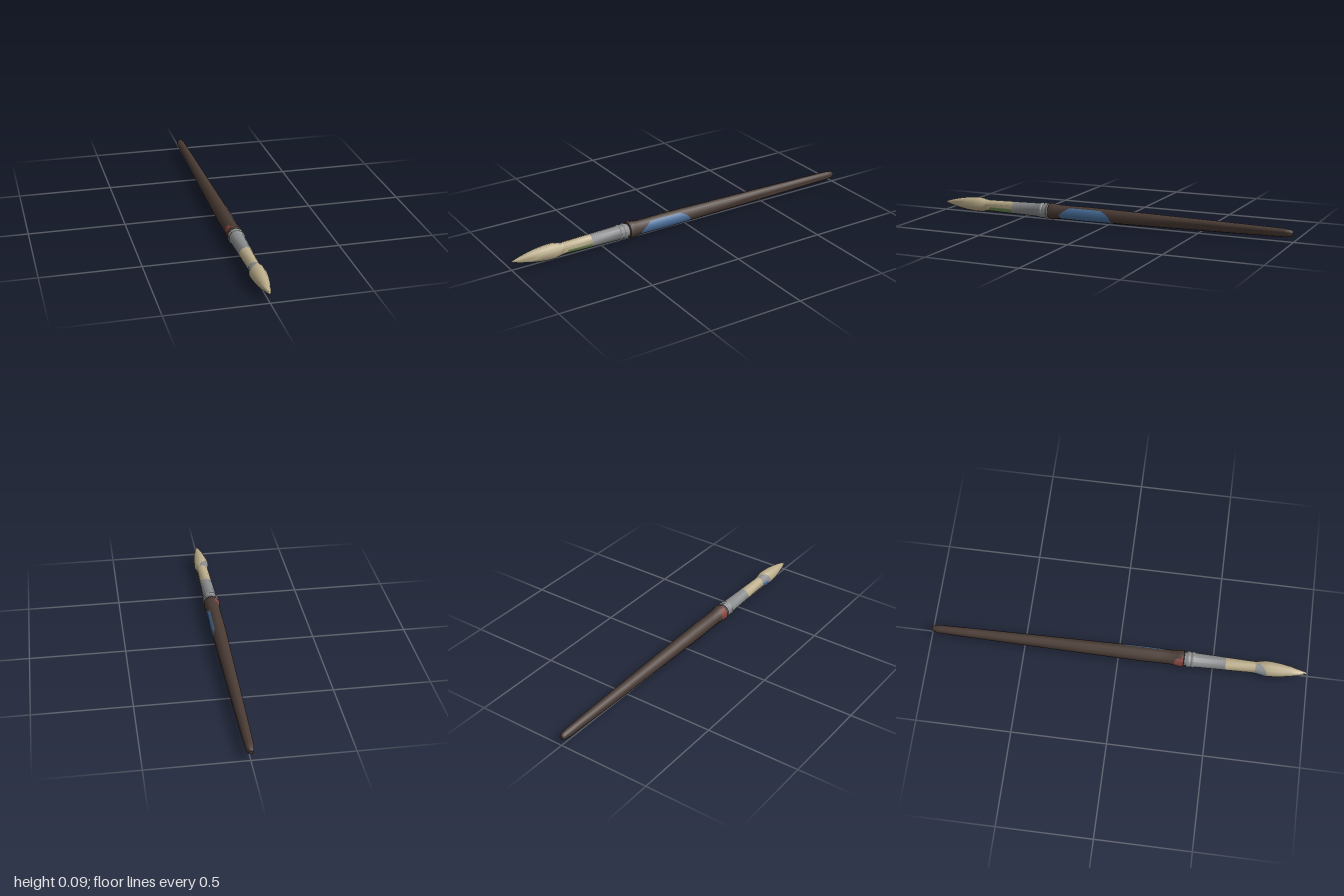
import * as THREE from 'three';
import { toCreasedNormals } from 'three/addons/utils/BufferGeometryUtils.js';

const SIDES = 10;
const AXIS_Y = 0.045;

function mat(name, color) {
  const m = new THREE.MeshStandardMaterial({ color });
  m.name = name;
  return m;
}

// Profiles are [z, radius] pairs running from the handle end to the tip
const HANDLE = [
  [-1, 0], [-0.998, 0.011], [-0.985, 0.018], [-0.955, 0.022], [-0.8, 0.0255], [-0.5, 0.0305],
  [-0.2, 0.035], [0, 0.038], [0.13, 0.0395], [0.22, 0.038], [0.28, 0.0385],
  [0.31, 0.042], [0.33, 0.045], [0.344, 0.0435], [0.348, 0.037], [0.348, 0],
];
const FERRULE = [
  [0.345, 0.036], [0.358, 0.036], [0.358, 0.041], [0.364, 0.043], [0.374, 0.043],
  [0.379, 0.039], [0.384, 0.039], [0.388, 0.0425], [0.398, 0.0425], [0.404, 0.038],
  [0.565, 0.034],
];
const NECK = [[0.565, 0.034], [0.72, 0.0305]];
const BRISTLES = [
  [0.72, 0.0305], [0.745, 0.035], [0.77, 0.0405], [0.8, 0.0405], [0.85, 0.036],
  [0.9, 0.028], [0.95, 0.0165], [0.985, 0.0065], [1, 0],
];

function turned(name, profile, material) {
  const pts = profile.map(([z, r]) => new THREE.Vector2(r, z));
  const geo = new THREE.LatheGeometry(pts, SIDES).rotateX(Math.PI / 2);
  const mesh = new THREE.Mesh(toCreasedNormals(geo, 0.75), material);
  mesh.name = name;
  return mesh;
}

function radiusAt(profile, z) {
  for (let i = 1; i < profile.length; i++) {
    const [z0, r0] = profile[i - 1], [z1, r1] = profile[i];
    if (z >= z0 && z <= z1 && z1 > z0) return r0 + (r1 - r0) * (z - z0) / (z1 - z0);
  }
  return profile[z < profile[0][0] ? 0 : profile.length - 1][1];
}

// Point on the ten-sided outline; corner 0 is the top, counting towards +x
function outline(v) {
  const corner = (k) => new THREE.Vector2(Math.sin(k * Math.PI / 5), Math.cos(k * Math.PI / 5));
  return corner(Math.floor(v)).lerp(corner(Math.floor(v) + 1), v - Math.floor(v));
}

// Thin paint skin; rows are [outline corner, zStart, zEnd]
function paint(name, profile, rows, material, lift = 0.0007) {
  const steps = 12, pos = [], nor = [], idx = [];
  rows.forEach(([v, za, zb], i) => {
    const p = outline(v), n = p.clone().normalize();
    for (let j = 0; j <= steps; j++) {
      const z = za + (zb - za) * j / steps;
      const r = radiusAt(profile, z) + lift;
      pos.push(p.x * r, p.y * r, z);
      nor.push(n.x, n.y, 0);
      if (i > 0 && j < steps) {
        const b = i * (steps + 1) + j, a = b - steps - 1;
        idx.push(a, a + 1, b, b, a + 1, b + 1);
      }
    }
  });
  const geo = new THREE.BufferGeometry();
  geo.setAttribute('position', new THREE.Float32BufferAttribute(pos, 3));
  geo.setAttribute('normal', new THREE.Float32BufferAttribute(nor, 3));
  geo.setIndex(idx);
  const mesh = new THREE.Mesh(geo, material);
  mesh.name = name;
  return mesh;
}

export function createModel() {
  const wood = mat('darkWood', 0x4a3b34);
  const metal = mat('greyMetal', 0x8b8c8e);
  const bristle = mat('creamBristle', 0xbcae8c);
  const blue = mat('bluePaint', 0x4a719f);
  const green = mat('greenPaint', 0x728f56);
  const red = mat('redPaint', 0x86443e);
  blue.side = green.side = red.side = THREE.DoubleSide;
  metal.side = bristle.side = THREE.DoubleSide;

  const brush = new THREE.Group();
  brush.name = 'paintbrush';
  brush.add(
    turned('handle', HANDLE, wood),
    turned('ferrule', FERRULE, metal),
    turned('bristleNeck', NECK, bristle),
    turned('bristleTip', BRISTLES, bristle),

    // Paint on the handle
    paint('blueHandlePaint', HANDLE, [
      [1.1, 0.04, 0.22], [2, 0, 0.25], [3, -0.02, 0.28], [4, -0.02, 0.27],
      [5, -0.02, 0.26], [6, 0.01, 0.25],
    ], blue),
    paint('redCollarPaint', HANDLE, [
      [6, 0.325, 0.344], [7, 0.3, 0.344], [8, 0.295, 0.344], [9, 0.3, 0.344], [10, 0.338, 0.344],
    ], red),

    // Paint on the neck and the bristle base
    paint('greenNeckPaint', NECK, [
      [1.8, 0.567, 0.68], [3, 0.566, 0.705], [4, 0.566, 0.718], [5, 0.566, 0.718], [6, 0.567, 0.7],
    ], green),
    paint('greyBristleSmear', BRISTLES, [
      [6.2, 0.722, 0.745], [7, 0.721, 0.785], [8, 0.721, 0.785], [9, 0.721, 0.775],
      [10, 0.725, 0.755], [10.6, 0.728, 0.74],
    ], metal),
    paint('blueBristleSmear', BRISTLES, [
      [6.6, 0.724, 0.75], [7, 0.722, 0.768], [7.8, 0.726, 0.765],
    ], blue, 0.0014),
  );
  brush.position.y = AXIS_Y;

  const model = new THREE.Group();
  model.name = 'model';
  model.add(brush);
  return model;
}
